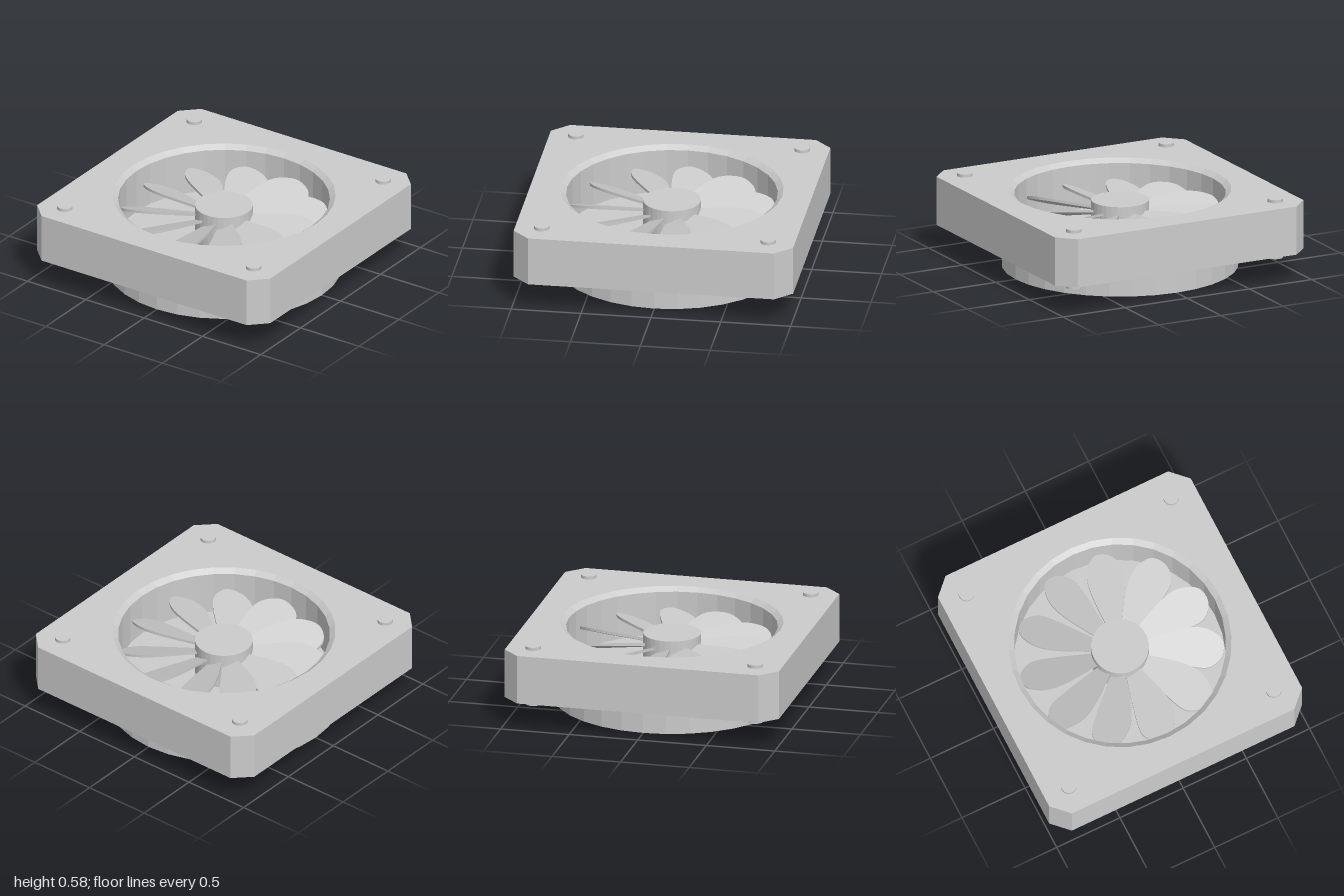
import * as THREE from 'three';
import { ConvexGeometry } from 'three/addons/geometries/ConvexGeometry.js';

const grey = new THREE.MeshStandardMaterial({ color: 0xcccccc, flatShading: true });
const SIDES = 32;

function add(parent, name, geometry, x = 0, y = 0, z = 0) {
  const mesh = new THREE.Mesh(geometry, grey);
  mesh.name = name;
  mesh.position.set(x, y, z);
  parent.add(mesh);
  return mesh;
}

// Square outline with cut corners
function octagon(half, cut) {
  const c = half - cut;
  return [[half, -c], [half, c], [c, half], [-c, half], [-half, c], [-half, -c], [-c, -half], [c, -half]]
    .map(([x, y]) => new THREE.Vector2(x, y));
}

// Petal outline: x runs across the blade, y outward from the hub
function bladeGeometry() {
  const edge = [[-0.06, 0.19], [-0.12, 0.43], [-0.125, 0.58], [-0.07, 0.7], [0, 0.735], [0.08, 0.715],
    [0.135, 0.64], [0.14, 0.56], [0.11, 0.42], [0.048, 0.19]].map(([x, y]) => new THREE.Vector2(x, y));
  const shape = new THREE.Shape(new THREE.SplineCurve(edge).getPoints(40));
  const geometry = new THREE.ExtrudeGeometry(shape, { depth: 0.02, bevelEnabled: false });
  geometry.rotateX(-Math.PI / 2);

  // Pitch the blade so its clockwise edge sits lower
  const pos = geometry.attributes.position;
  for (let i = 0; i < pos.count; i++) pos.setY(i, pos.getY(i) - pos.getX(i) * Math.tan(0.38));
  geometry.computeVertexNormals();
  return geometry;
}

export function createModel() {
  const group = new THREE.Group();

  // Frame block with a round opening
  const outline = new THREE.Shape(octagon(1, 0.12));
  const opening = [];
  for (let i = 0; i < SIDES; i++) {
    const a = -i / SIDES * Math.PI * 2;
    opening.push(new THREE.Vector2(Math.cos(a) * 0.79, Math.sin(a) * 0.79));
  }
  outline.holes.push(new THREE.Path(opening));
  const frame = new THREE.ExtrudeGeometry(outline, { depth: 0.355, bevelEnabled: false });
  frame.rotateX(-Math.PI / 2);
  add(group, 'frame', frame, 0, 0.2, 0);

  // Underside, tapering to a smaller square
  const underside = octagon(1, 0.12).map(p => new THREE.Vector3(p.x, 0.2, p.y));
  for (const x of [-0.88, 0.88]) for (const z of [-0.88, 0.88]) underside.push(new THREE.Vector3(x, 0.18, z));
  add(group, 'underside', new ConvexGeometry(underside));

  // Flared duct wall and floor
  const duct = [[0.79, 0.555], [0.75, 0.525], [0.75, 0.205], [0, 0.205]].map(([r, y]) => new THREE.Vector2(r, y));
  add(group, 'duct', new THREE.LatheGeometry(duct, SIDES));

  // Round base drum
  add(group, 'baseDrum', new THREE.CylinderGeometry(0.84, 0.84, 0.185, SIDES), 0, 0.0925, 0);

  // Rotor: hub and pitched blades
  const rotor = new THREE.Group();
  rotor.name = 'rotor';
  group.add(rotor);
  add(rotor, 'hub', new THREE.CylinderGeometry(0.205, 0.205, 0.27, SIDES), 0, 0.34, 0);
  const blade = bladeGeometry();
  const count = 11;
  for (let i = 0; i < count; i++) {
    add(rotor, 'blade', blade, 0, 0.375, 0).rotation.y = -0.27 - i / count * Math.PI * 2;
  }

  // Corner bolts
  const bolt = new THREE.CylinderGeometry(0.055, 0.055, 0.435, SIDES);
  for (const x of [-0.81, 0.81]) for (const z of [-0.81, 0.81]) add(group, 'cornerBolt', bolt, x, 0.3605, z);

  return group;
}
